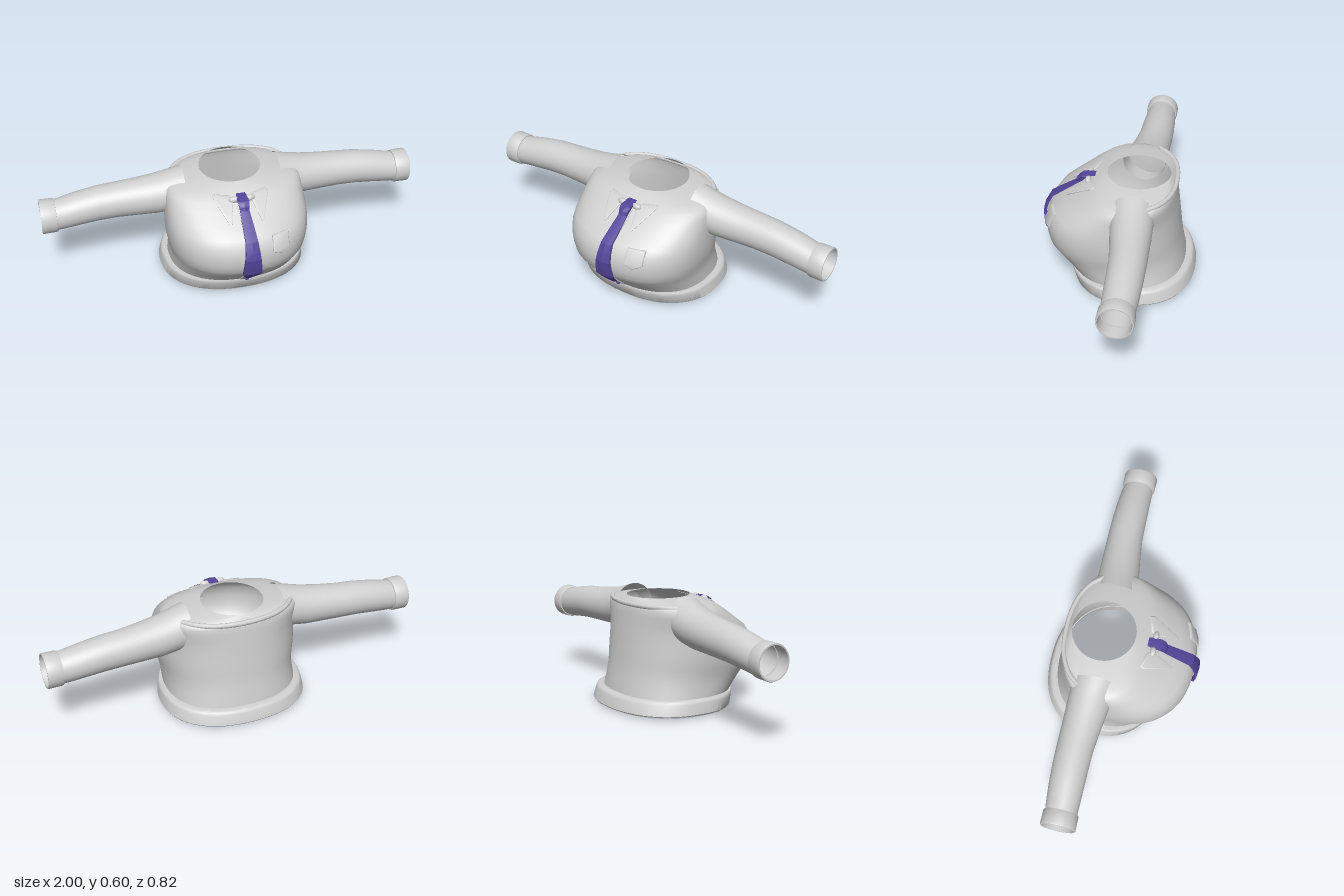
import * as THREE from 'three';
import { toCreasedNormals } from 'three/addons/utils/BufferGeometryUtils.js';

const fabric = new THREE.MeshStandardMaterial({ color: 0xd0d0d0, side: THREE.DoubleSide });
fabric.name = 'grey fabric';
const purple = new THREE.MeshStandardMaterial({ color: 0x54459a, side: THREE.DoubleSide });
purple.name = 'purple fabric';

// Torso sections from hem to neck: y, front z, back z, half width, roundness
const TORSO = [
  [0.08, 0.245, -0.357, 0.35, 2.3], [0.1, 0.262, -0.354, 0.35, 2.3],
  [0.15, 0.308, -0.344, 0.347, 2.3], [0.2, 0.353, -0.335, 0.353, 2.3],
  [0.23, 0.373, -0.33, 0.36, 2.3], [0.27, 0.382, -0.326, 0.367, 2.3],
  [0.32, 0.385, -0.32, 0.371, 2.3], [0.37, 0.373, -0.314, 0.371, 2.3],
  [0.41, 0.345, -0.31, 0.368, 2.3], [0.45, 0.288, -0.305, 0.365, 2.3],
  [0.5, 0.213, -0.3, 0.361, 2.4], [0.53, 0.165, -0.296, 0.356, 2.4],
  [0.545, 0.138, -0.291, 0.342, 2.4], [0.557, 0.115, -0.284, 0.305, 2.3],
  [0.568, 0.093, -0.275, 0.245, 2.2], [0.58, 0.065, -0.264, 0.162, 2],
];

// Joins equal rings of points into a skin
function loft(rings, crease = 0.6) {
  const n = rings[0].length, index = [];
  for (let i = 0; i < rings.length - 1; i++) {
    for (let j = 0; j < n; j++) {
      const a = i * n + j, b = i * n + (j + 1) % n;
      index.push(a, b, b + n, a, b + n, a + n);
    }
  }
  const geo = new THREE.BufferGeometry();
  geo.setAttribute('position', new THREE.Float32BufferAttribute(rings.flat(2), 3));
  geo.setIndex(index);
  return toCreasedNormals(geo, crease);
}

// Rounded horizontal outline
function outline([y, front, back, hw, n], count = 72) {
  return Array.from({ length: count }, (_, j) => {
    const t = j / count * Math.PI * 2, s = Math.sin(t), c = Math.cos(t);
    const p = v => Math.sign(v) * Math.abs(v) ** (2 / n);
    return [hw * p(s), y, (front + back) / 2 + (front - back) / 2 * p(c)];
  });
}

// Depth of the chest at a given x and y
function chest(x, y) {
  let i = 0;
  while (i < TORSO.length - 2 && TORSO[i + 1][0] < y) i++;
  const a = TORSO[i], b = TORSO[i + 1];
  const k = THREE.MathUtils.clamp((y - a[0]) / (b[0] - a[0]), 0, 1);
  const [, f, r, hw, n] = a.map((v, m) => v + (b[m] - v) * k);
  return (f + r) / 2 + (f - r) / 2 * (1 - Math.min(1, Math.abs(x / hw)) ** n) ** (1 / n);
}

// Padded patch lying on the chest
function patch(points, depth, bevel) {
  const geo = new THREE.ExtrudeGeometry(
    new THREE.Shape(points.map(p => new THREE.Vector2(...p))),
    { depth, bevelEnabled: true, bevelSize: bevel, bevelThickness: bevel, bevelOffset: -bevel, bevelSegments: 3 });
  const pos = geo.attributes.position;
  for (let i = 0; i < pos.count; i++) {
    pos.setZ(i, pos.getZ(i) + chest(pos.getX(i), pos.getY(i)));
  }
  return toCreasedNormals(geo, 0.7);
}

// Strip hanging down the front: rows of y, front z, half width
function strip(rows, thick, ridge) {
  return loft(rows.map(([y, z, w]) => [
    [0, y, z], [w, y, z - ridge], [w, y, z - thick], [-w, y, z - thick], [-w, y, z - ridge],
  ]), 0.25);
}

export function createModel() {
  const group = new THREE.Group();
  const add = (name, geo, mat = fabric) => {
    const mesh = new THREE.Mesh(geo, mat);
    mesh.name = name;
    group.add(mesh);
    return mesh;
  };

  add('torso', loft(TORSO.map(s => outline(s)), 0.9));

  // Hem band with a thin lower lip and open inside
  add('hemBand', loft([
    [0.085, 0.235, -0.35, 0.345, 2.3], [0, 0.217, -0.372, 0.357, 2.3],
    [0, 0.222, -0.38, 0.365, 2.3], [0.012, 0.224, -0.382, 0.367, 2.3],
    [0.012, 0.232, -0.408, 0.388, 2.3], [0.018, 0.238, -0.412, 0.392, 2.3],
    [0.07, 0.254, -0.398, 0.383, 2.3], [0.083, 0.257, -0.391, 0.379, 2.3],
    [0.088, 0.256, -0.383, 0.373, 2.3], [0.088, 0.245, -0.35, 0.345, 2.3],
  ].map(s => outline(s)), 0.7));

  // Sleeves with cuffs: x, centre y, centre z, radius
  const SLEEVE = [
    [0.255, 0.485, -0.095, 0.115], [0.32, 0.472, -0.1, 0.11], [0.4, 0.458, -0.107, 0.105],
    [0.5, 0.45, -0.114, 0.098], [0.6, 0.444, -0.12, 0.093], [0.7, 0.438, -0.121, 0.091],
    [0.8, 0.425, -0.12, 0.088], [0.88, 0.412, -0.118, 0.084], [0.922, 0.406, -0.116, 0.081],
  ];
  const CUFF = [
    [0.92, 0.405, -0.116, 0.079], [0.921, 0.405, -0.116, 0.087], [0.928, 0.405, -0.116, 0.089],
    [0.995, 0.405, -0.116, 0.09], [1, 0.405, -0.116, 0.088], [1, 0.405, -0.116, 0.081],
    [0.93, 0.405, -0.116, 0.079],
  ];
  for (const [side, s] of [['left', 1], ['right', -1]]) {
    const tube = rows => loft(rows.map(([x, y, z, r]) => Array.from({ length: 40 }, (_, j) => {
      const t = s * j / 40 * Math.PI * 2;
      return [s * x, y + r * Math.cos(t), z + r * Math.sin(t)];
    })), 0.7);
    add(side + 'Sleeve', tube(SLEEVE));
    add(side + 'Cuff', tube(CUFF));

    // Collar point and the small fold beside the knot
    add(side + 'CollarPoint', patch(
      [[0.045, 0.535], [0.06, 0.547], [0.138, 0.553], [0.146, 0.544], [0.088, 0.463], [0.078, 0.463]]
        .map(([x, y]) => [s * x, y]), 0.006, 0.007));
    const fold = add(side + 'CollarFold', new THREE.SphereGeometry(1, 20, 12));
    fold.scale.set(0.028, 0.017, 0.016);
    fold.position.set(s * 0.042, 0.537, chest(0.042, 0.537) + 0.01);
  }

  // Raised rim around the back of the neck
  const rim = new THREE.CatmullRomCurve3([
    [-0.3, 0.55, -0.17], [-0.25, 0.551, -0.225], [-0.17, 0.55, -0.27], [-0.08, 0.549, -0.291],
    [0, 0.548, -0.295], [0.08, 0.549, -0.291], [0.17, 0.55, -0.27], [0.25, 0.551, -0.225], [0.3, 0.55, -0.17],
  ].map(p => new THREE.Vector3(...p)));
  add('neckRim', new THREE.TubeGeometry(rim, 48, 0.013, 10));

  // Button strip, pocket and button
  add('buttonStrip', strip([0.088, ...TORSO.slice(1, 12).map(r => r[0])]
    .map(y => [y, chest(0, y) + 0.007, 0.03]), 0.012, 0.001));
  add('chestPocket', patch(
    [[0.112, 0.412], [0.204, 0.412], [0.204, 0.335], [0.158, 0.314], [0.112, 0.335]], 0.006, 0.006));
  const button = add('button', new THREE.SphereGeometry(0.012, 16, 10), purple);
  button.scale.z = 0.7;
  button.position.set(0, 0.105, 0.274);

  // Necktie: tip, widening blade, narrow top, then the knot
  add('tieBlade', strip([
    [0.122, 0.298, 0.002], [0.135, 0.315, 0.011], [0.19, 0.371, 0.037], [0.225, 0.398, 0.05],
    [0.27, 0.407, 0.046], [0.32, 0.41, 0.041], [0.36, 0.399, 0.037], [0.41, 0.373, 0.032],
    [0.45, 0.312, 0.029], [0.495, 0.24, 0.025], [0.52, 0.205, 0.022],
  ], 0.02, 0.005), purple);
  add('tieKnot', strip([
    [0.5, 0.215, 0.015], [0.505, 0.234, 0.022], [0.525, 0.226, 0.026],
    [0.542, 0.204, 0.03], [0.549, 0.18, 0.027], [0.55, 0.15, 0.02],
  ], 0.035, 0.006), purple);

  return group;
}
